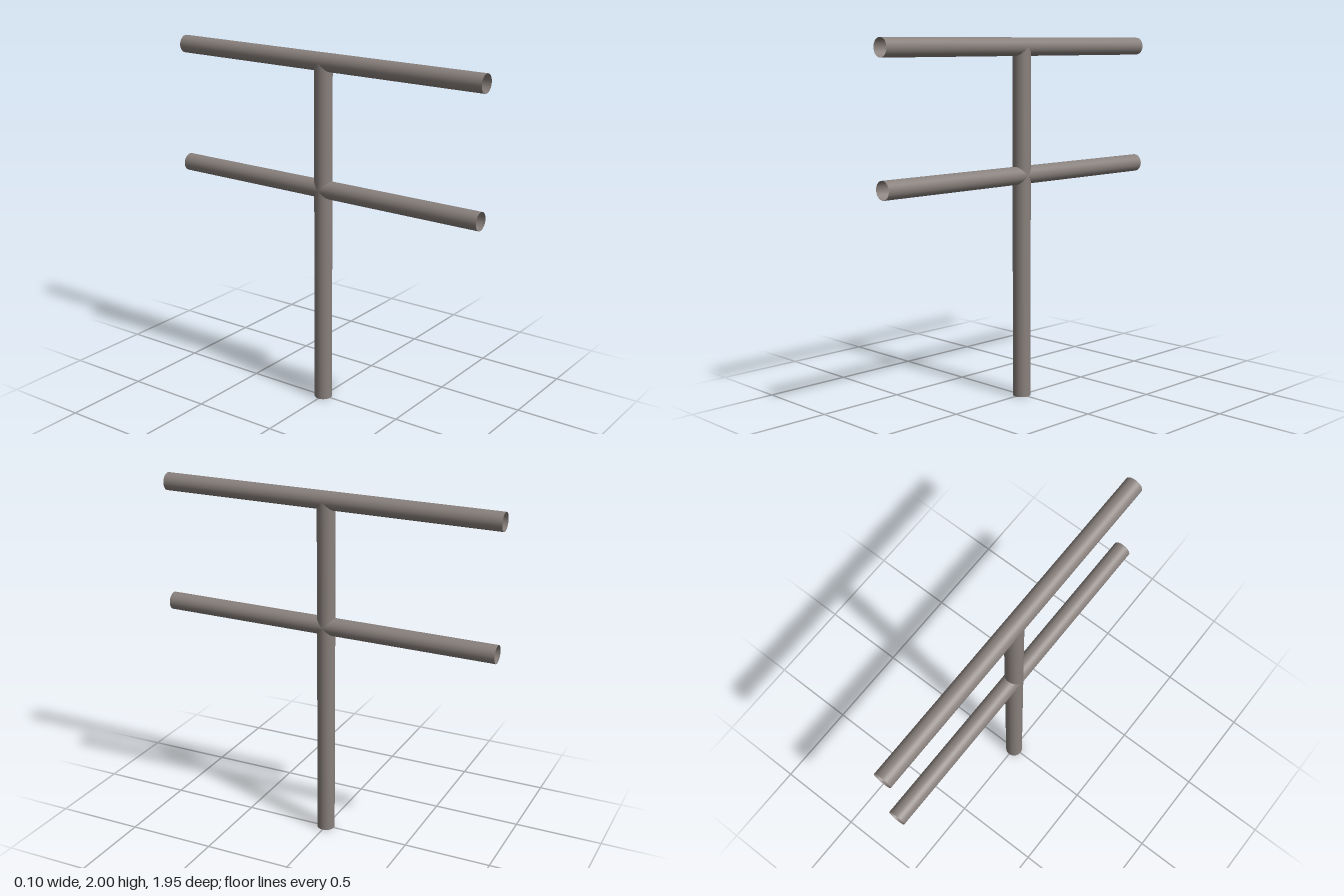
import * as THREE from 'three';

const RADIUS = 0.05;
const POST_HEIGHT = 1.95;
const BAR_LENGTH = 1.95;

export function createModel() {
  const model = new THREE.Group();
  model.name = 'pipeStand';

  const metal = new THREE.MeshStandardMaterial({ color: 0x88807c, side: THREE.DoubleSide });
  metal.name = 'warm grey metal';

  // Hollow pipe, open at both ends
  function addPipe(name, length, y, alongZ) {
    const geometry = new THREE.CylinderGeometry(RADIUS, RADIUS, length, 32, 1, true);
    if (alongZ) geometry.rotateX(Math.PI / 2);
    const pipe = new THREE.Mesh(geometry, metal);
    pipe.name = name;
    pipe.position.y = y;
    model.add(pipe);
  }

  // Upright post, ending on the axis of the top bar
  addPipe('post', POST_HEIGHT, POST_HEIGHT / 2, false);

  // Two crossbars running front to back
  addPipe('topCrossbar', BAR_LENGTH, 1.95, true);
  addPipe('middleCrossbar', BAR_LENGTH, 1.25, true);

  return model;
}
